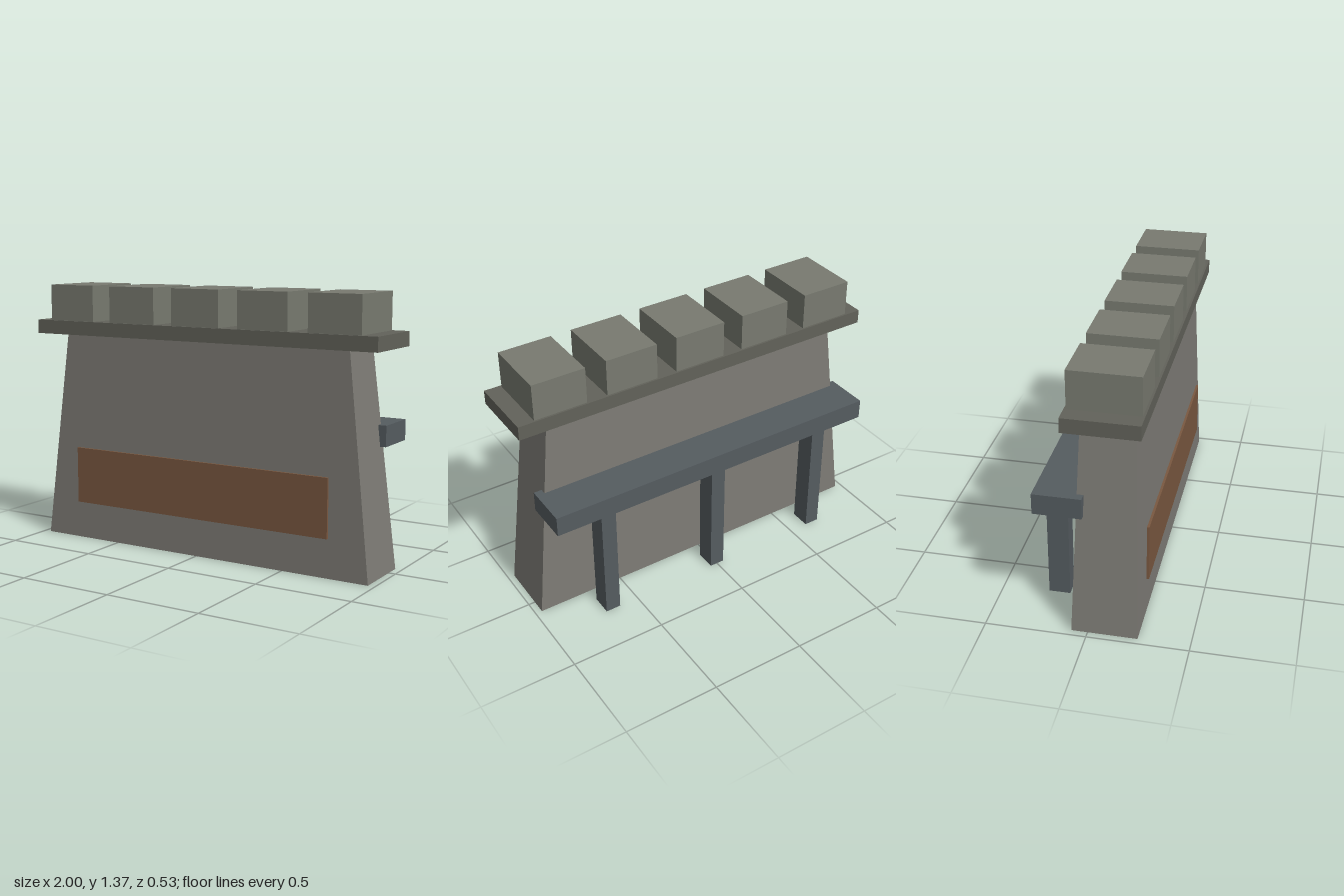
import * as THREE from 'three';

const paint = (color) => new THREE.MeshStandardMaterial({ color, flatShading: true });

// Box given by its minimum and maximum corners
function block(name, [x0, y0, z0], [x1, y1, z1], material) {
  const mesh = new THREE.Mesh(new THREE.BoxGeometry(x1 - x0, y1 - y0, z1 - z0), material);
  mesh.position.set((x0 + x1) / 2, (y0 + y1) / 2, (z0 + z1) / 2);
  mesh.name = name;
  return mesh;
}

export function createModel() {
  const group = new THREE.Group();
  group.name = 'battlementWall';

  const wallStone = paint(0x7d7b75);
  const capStone = paint(0x62625a);
  const merlonStone = paint(0x787a70);
  const timber = paint(0x555c60);
  const panelWood = paint(0x7a5840);

  // Wall body, tapering towards the top on all four sides
  const wall = block('wall', [-0.965, 0, -0.08], [0.965, 1.11, 0.245], wallStone);
  const p = wall.geometry.attributes.position;
  for (let i = 0; i < p.count; i++) {
    if (p.getY(i) > 0) {
      p.setX(i, p.getX(i) * (0.835 / 0.965));
      p.setZ(i, p.getZ(i) * (0.26 / 0.325));
    }
  }
  wall.geometry.computeVertexNormals();
  group.add(wall);

  // Overhanging cap slab
  group.add(block('cap', [-1, 1.107, -0.1], [1, 1.18, 0.265], capStone));

  // Row of five merlons
  for (let i = -2; i <= 2; i++) {
    const x = i * 0.387;
    group.add(block('merlon', [x - 0.139, 1.18, -0.09], [x + 0.139, 1.37, 0.254], merlonStone));
  }

  // Walkway at the back on three posts
  group.add(block('walkway', [-0.923, 0.617, -0.265], [0.923, 0.723, -0.027], timber));
  for (const x of [-0.645, 0, 0.645]) {
    group.add(block('walkwayPost', [x - 0.04, 0, -0.264], [x + 0.04, 0.617, -0.156], timber));
  }

  // Thin wooden panel on the front
  group.add(block('frontPanel', [-0.752, 0.198, 0.246], [0.752, 0.498, 0.258], panelWood));

  return group;
}
